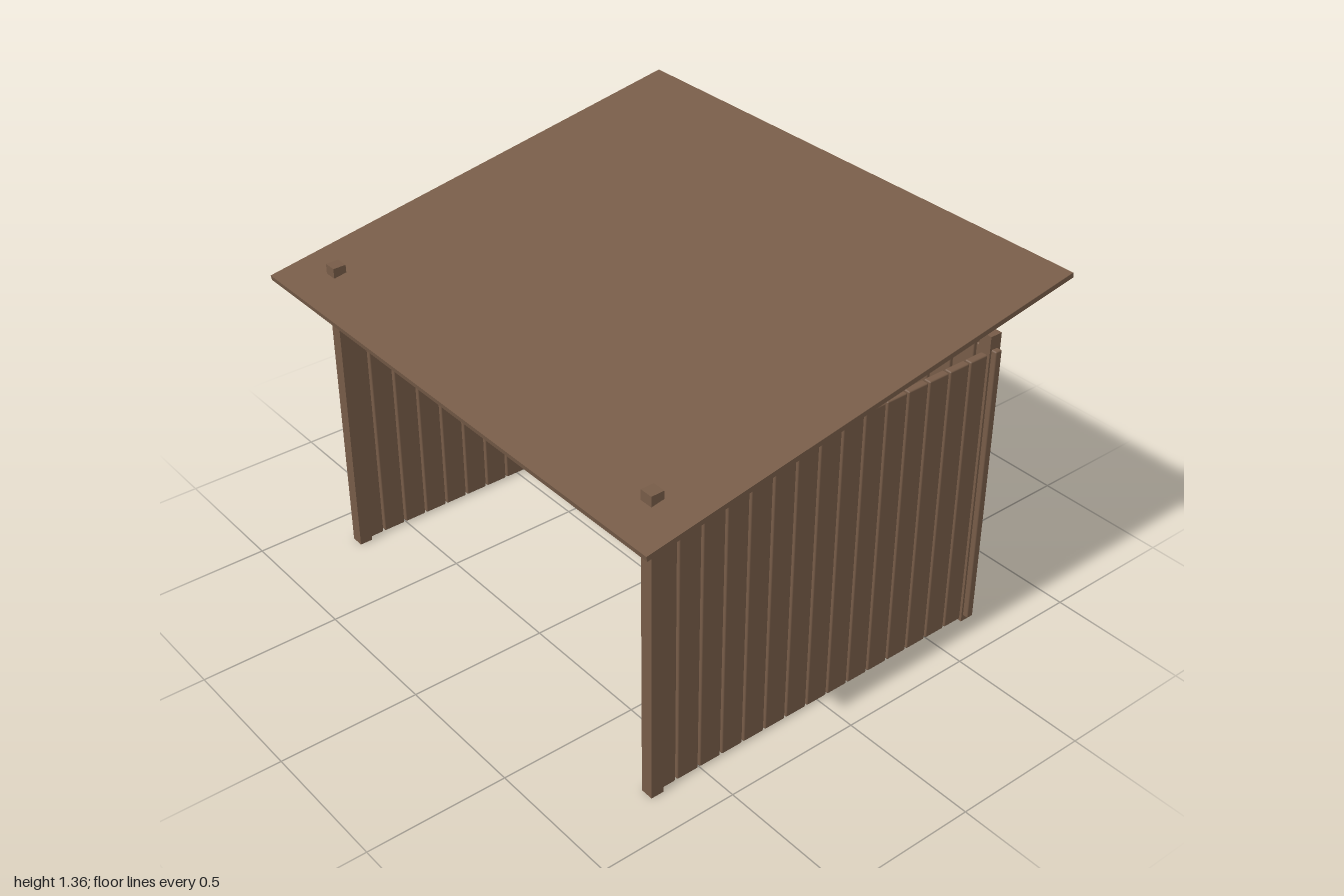
import * as THREE from 'three';
import { RoundedBoxGeometry } from 'three/addons/geometries/RoundedBoxGeometry.js';

export function createModel() {
  const model = new THREE.Group();
  model.name = 'openShelter';
  const wood = new THREE.MeshStandardMaterial({ color: 0x775c48 });
  wood.name = 'brownWood';

  const add = (parent, name, geometry, x, y, z) => {
    const mesh = new THREE.Mesh(geometry, wood);
    mesh.name = name;
    mesh.position.set(x, y, z);
    parent.add(mesh);
    return mesh;
  };
  const group = (name) => {
    const g = new THREE.Group();
    g.name = name;
    model.add(g);
    return g;
  };

  const postX = 0.833, postZ = 0.68;

  // Corner posts; the front pair pokes through the roof
  const posts = group('cornerPosts');
  const postGeometry = new THREE.BoxGeometry(0.047, 1.13, 0.047);
  for (const x of [-postX, postX]) {
    for (const z of [-postZ, postZ]) add(posts, z > 0 ? 'frontPost' : 'backPost', postGeometry, x, 0.565, z);
  }

  // Back wall of upright planks, running through the posts
  const backWall = group('backWall');
  const backPlank = new RoundedBoxGeometry(0.084, 1.06, 0.028, 1, 0.005);
  for (let i = -9; i <= 9; i++) add(backWall, 'backPlank', backPlank, i * 0.0926, 0.55, -0.678);

  // Side walls and the shelf bench fixed to each
  const sidePlank = new RoundedBoxGeometry(0.028, 1.055, 0.084, 1, 0.005);
  const benchGeometry = new THREE.BoxGeometry(0.49, 0.026, 0.37);
  for (const side of [-1, 1]) {
    const label = side > 0 ? 'left' : 'right';
    const wall = group(label + 'Wall');
    for (let i = 0; i < 15; i++) {
      add(wall, 'sidePlank', sidePlank, side * postX, 0.5325, 0.642 - i * 0.0906);
    }
    add(model, label + 'Bench', benchGeometry, side * 0.567, 0.345, -0.265);
  }

  // Flat roof sheet rising toward the back
  const roof = add(model, 'roof', new THREE.BoxGeometry(2, 0.018, 1.695), 0, 1.206, 0);
  roof.rotation.x = Math.atan2(0.288, 1.67);

  return model;
}
